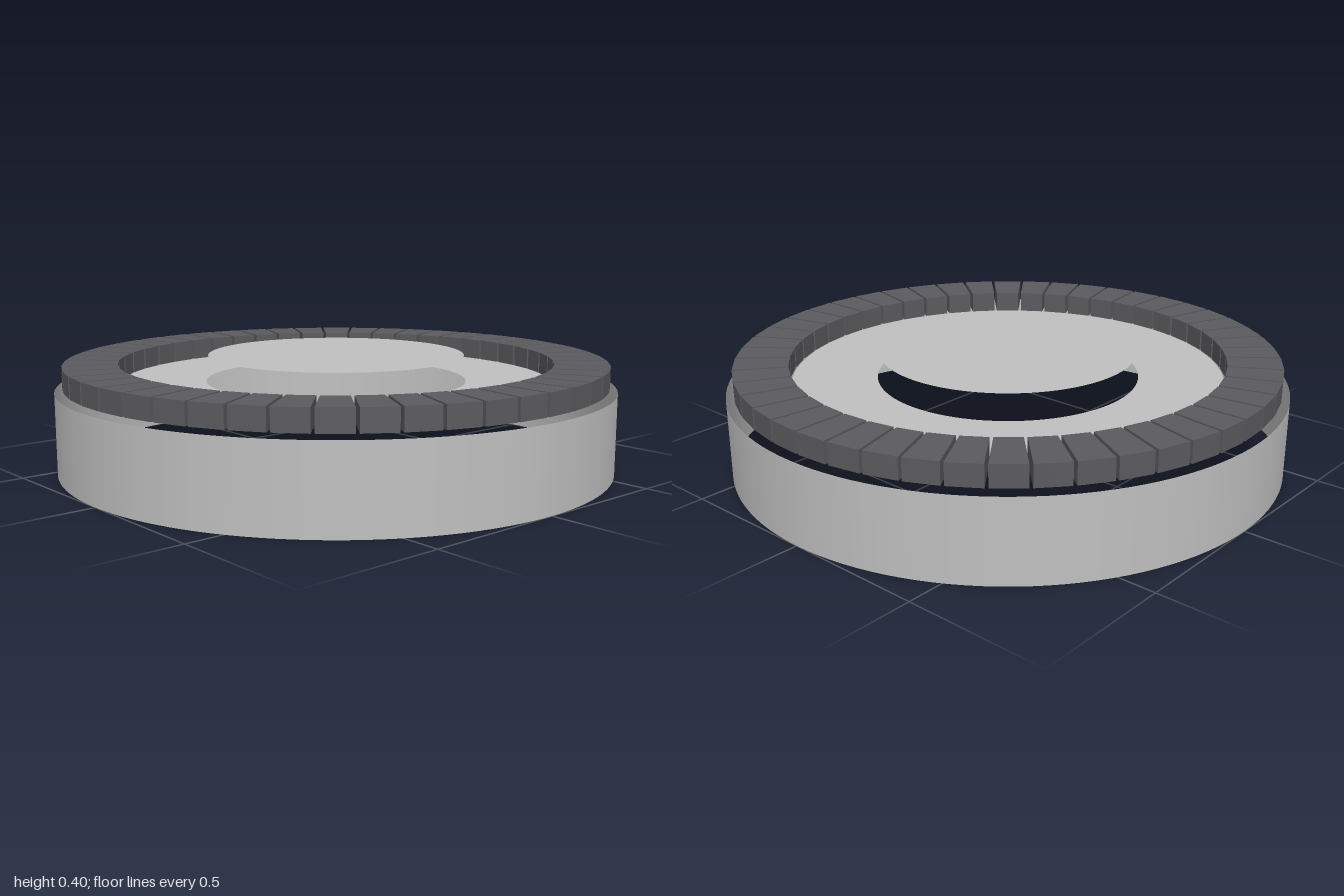
import * as THREE from 'three';

const BLOCKS = 48;
const STEP = (Math.PI * 2) / BLOCKS;
const GAP = 0.011;

// Wedge-shaped block pointing along +z, with parallel-sided gaps to its neighbours
function wedgeGeometry(inner, outer, bottom, top) {
  const corner = (r, side) => {
    const a = side * (STEP / 2 - Math.asin(GAP / 2 / r));
    return new THREE.Vector2(r * Math.sin(a), -r * Math.cos(a));
  };
  const shape = new THREE.Shape([corner(outer, -1), corner(outer, 1), corner(inner, 1), corner(inner, -1)]);
  const geometry = new THREE.ExtrudeGeometry(shape, { depth: top - bottom, bevelEnabled: false });
  geometry.rotateX(-Math.PI / 2);
  geometry.translate(0, bottom, 0);
  return geometry;
}

export function createModel() {
  const model = new THREE.Group();
  model.name = 'roundDial';

  const lightGrey = new THREE.MeshStandardMaterial({ color: 0xc0c0c0, side: THREE.DoubleSide });
  lightGrey.name = 'light grey';
  const darkGrey = new THREE.MeshStandardMaterial({ color: 0x5b5b5f });
  darkGrey.name = 'dark grey';

  const add = (name, geometry, material, y) => {
    const mesh = new THREE.Mesh(geometry, material);
    mesh.name = name;
    mesh.position.y = y;
    model.add(mesh);
    return mesh;
  };

  // Open outer wall
  add('outerWall', new THREE.CylinderGeometry(1, 1, 0.29, 128, 1, true), lightGrey, 0.145);

  // Thin flat ring and the raised centre disc
  add('flatRing', new THREE.RingGeometry(0.47, 0.774, 128).rotateX(-Math.PI / 2), lightGrey, 0.303);
  add('centreDisc', new THREE.CircleGeometry(0.462, 128).rotateX(-Math.PI / 2), lightGrey, 0.396);

  // Circle of separate blocks above the wall
  const blocks = new THREE.Group();
  blocks.name = 'blockRing';
  const wedge = wedgeGeometry(0.78, 0.973, 0.302, 0.378);
  for (let i = 0; i < BLOCKS; i++) {
    const block = new THREE.Mesh(wedge, darkGrey);
    block.name = 'block';
    block.rotation.y = (i + 0.5) * STEP;
    blocks.add(block);
  }
  model.add(blocks);

  return model;
}
